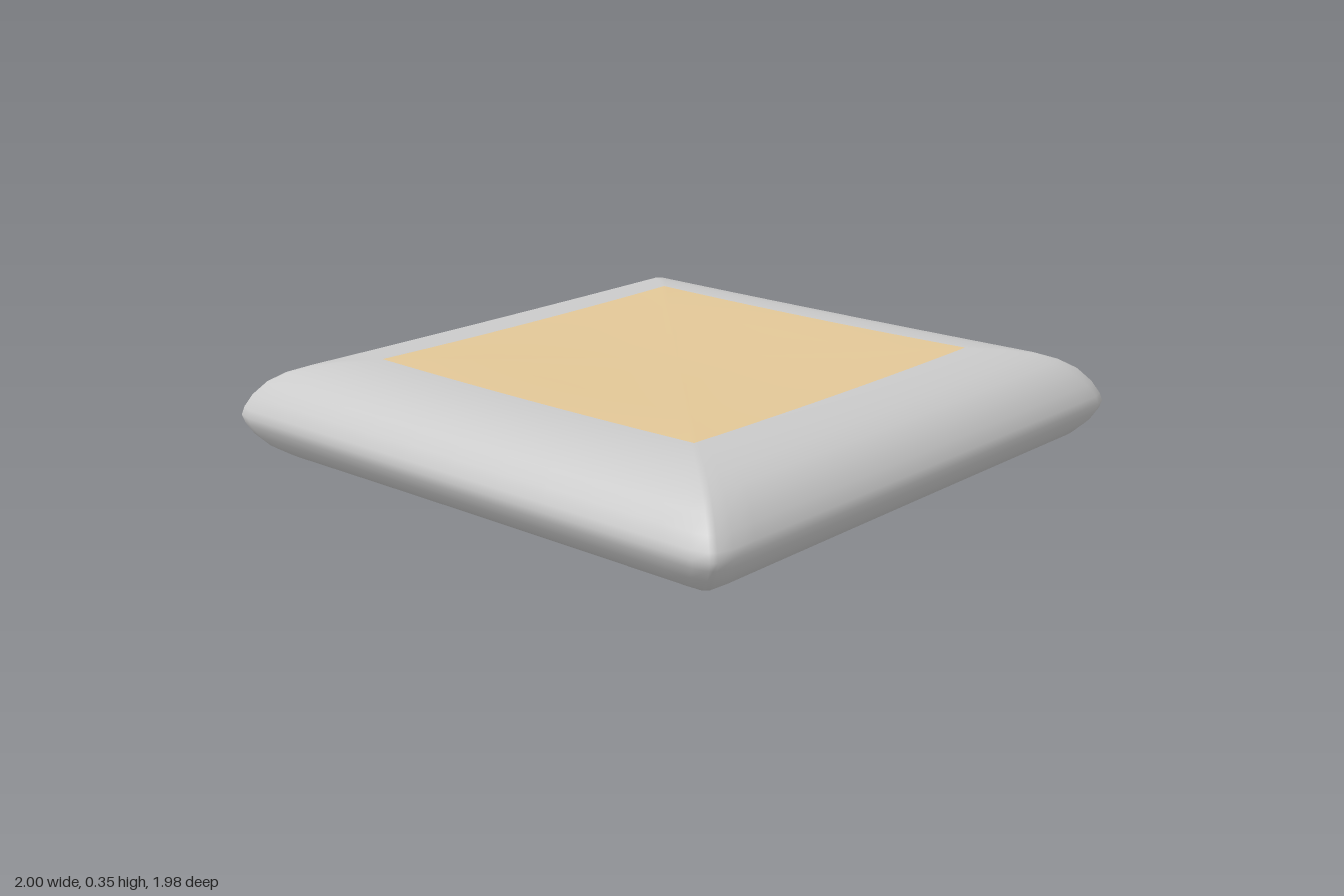
import * as THREE from 'three';
import { mergeVertices } from 'three/addons/utils/BufferGeometryUtils.js';

const SEGMENTS = 16; // per side of each ring

// Cross-section from the middle of the top, over the rim, to the middle of the bottom:
// half width, height, corner radius
const TOP = [[0, 0.342, 0], [0.22, 0.343, 0], [0.45, 0.346, 0], [0.648, 0.35, 0]];
const REST = [
  [0.74, 0.346, 0.01], [0.82, 0.333, 0.02], [0.88, 0.312, 0.03], [0.93, 0.283, 0.045],
  [0.97, 0.242, 0.06], [0.993, 0.205, 0.07], [1, 0.18, 0.07], [0.993, 0.155, 0.07],
  [0.97, 0.118, 0.06], [0.93, 0.079, 0.045], [0.88, 0.05, 0.03], [0.82, 0.027, 0.02],
  [0.74, 0.014, 0.01], [0.65, 0.01, 0], [0.45, 0.013, 0], [0.22, 0.016, 0], [0, 0.017, 0],
];

// One rounded square ring, with points gathered towards the corners
function ring([half, y, radius]) {
  const points = [];
  const core = half - radius;
  const rim = Math.max(0, half - 0.65) / 0.35; // 0 on the flat faces, 1 at the rim
  const depth = THREE.MathUtils.lerp(1.025, 0.99, rim);
  for (let side = 0; side < 4; side++) {
    for (let i = 0; i < SEGMENTS; i++) {
      const t = Math.sin((i / SEGMENTS - 0.5) * Math.PI);
      const p = new THREE.Vector2(half * t, half);
      const q = new THREE.Vector2(THREE.MathUtils.clamp(p.x, -core, core), core);
      p.sub(q).normalize().multiplyScalar(radius).add(q);
      p.rotateAround(new THREE.Vector2(), -side * Math.PI / 2);
      // the faces swell a little towards their corners
      const swell = 0.006 * Math.min(1, half / 0.65) * t * t * (1 - rim);
      points.push(p.x, y + Math.sign(y - 0.18) * swell, p.y * depth);
    }
  }
  return points;
}

function cushionGeometry() {
  const profile = [...TOP, ...REST];
  const count = SEGMENTS * 4;
  const index = [];
  for (let r = 0; r < profile.length - 1; r++) {
    for (let i = 0; i < count; i++) {
      const a = r * count + i;
      const b = r * count + (i + 1) % count;
      index.push(a, a + count, b, b, a + count, b + count);
    }
  }

  let geometry = new THREE.BufferGeometry();
  geometry.setAttribute('position', new THREE.Float32BufferAttribute(profile.flatMap(ring), 3));
  geometry.setIndex(index);
  geometry = mergeVertices(geometry, 1e-5);
  geometry.computeVertexNormals();

  // the inner rings of the top are the panel, all others the cover
  const split = (TOP.length - 1) * count * 6;
  geometry.addGroup(0, split, 0);
  geometry.addGroup(split, index.length - split, 1);
  return geometry;
}

export function createModel() {
  const panel = new THREE.MeshStandardMaterial({ name: 'tan panel', color: 0xe2c797 });
  const cover = new THREE.MeshStandardMaterial({ name: 'grey cover', color: 0xcacaca });

  const group = new THREE.Group();
  group.name = 'cushion';
  const cushion = new THREE.Mesh(cushionGeometry(), [panel, cover]);
  cushion.name = 'cushionBody';
  group.add(cushion);
  return group;
}
